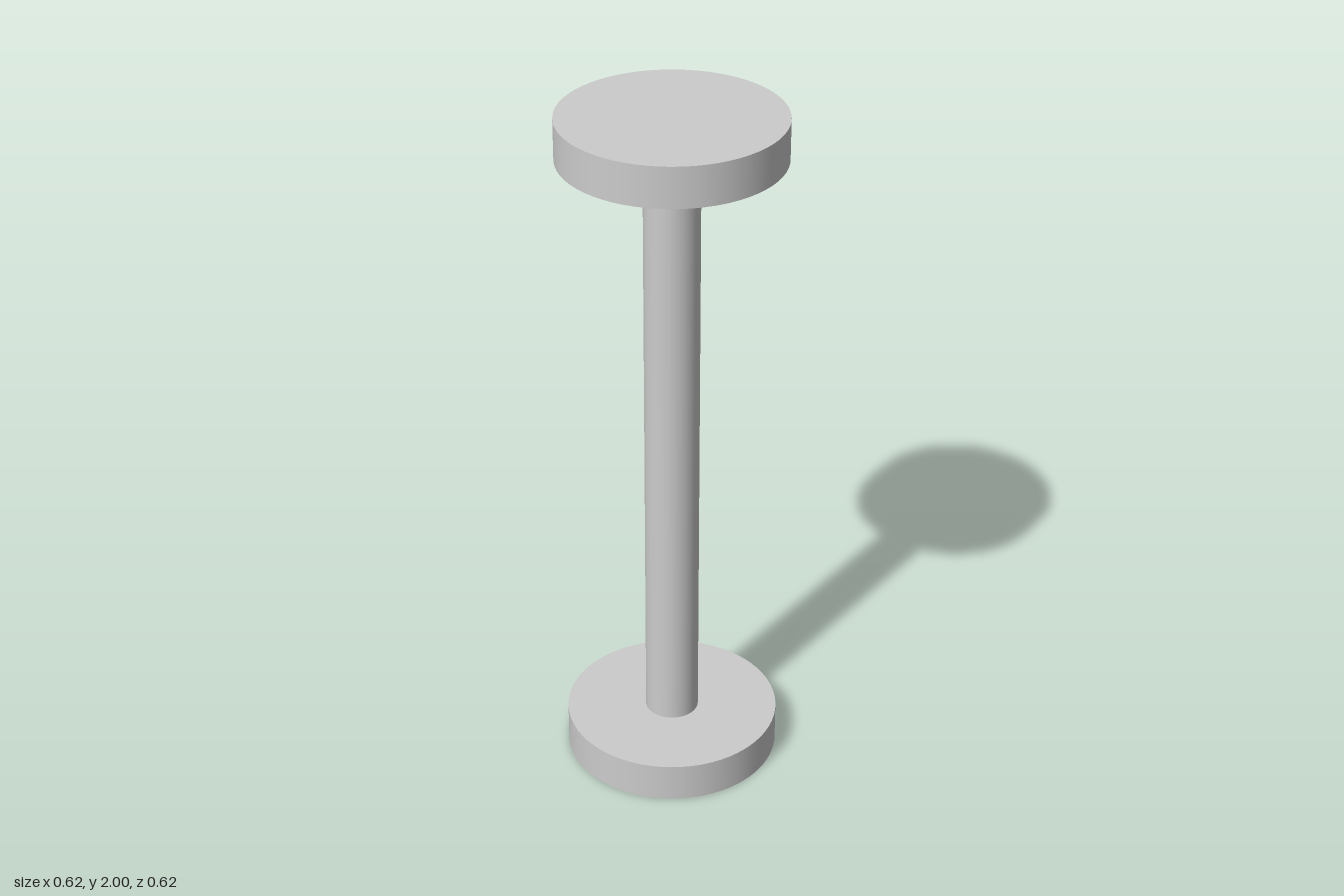
import * as THREE from 'three';

const HEIGHT = 2;
const DISC_RADIUS = 0.3077;
const DISC_THICKNESS = 0.1154;
const SHAFT_RADIUS = 0.0769;

export function createModel() {
  const model = new THREE.Group();
  model.name = 'spool';
  const material = new THREE.MeshStandardMaterial({ color: 0xcccccc });

  // Upright cylinder standing between two heights
  function addCylinder(name, radius, bottom, top, openEnded = false) {
    const geometry = new THREE.CylinderGeometry(radius, radius, top - bottom, 64, 1, openEnded);
    const mesh = new THREE.Mesh(geometry, material);
    mesh.name = name;
    mesh.position.y = (bottom + top) / 2;
    model.add(mesh);
  }

  // End discs
  addCylinder('bottomDisc', DISC_RADIUS, 0, DISC_THICKNESS);
  addCylinder('topDisc', DISC_RADIUS, HEIGHT - DISC_THICKNESS, HEIGHT);

  // Shaft, closed off by the discs
  addCylinder('shaft', SHAFT_RADIUS, DISC_THICKNESS, HEIGHT - DISC_THICKNESS, true);

  return model;
}
